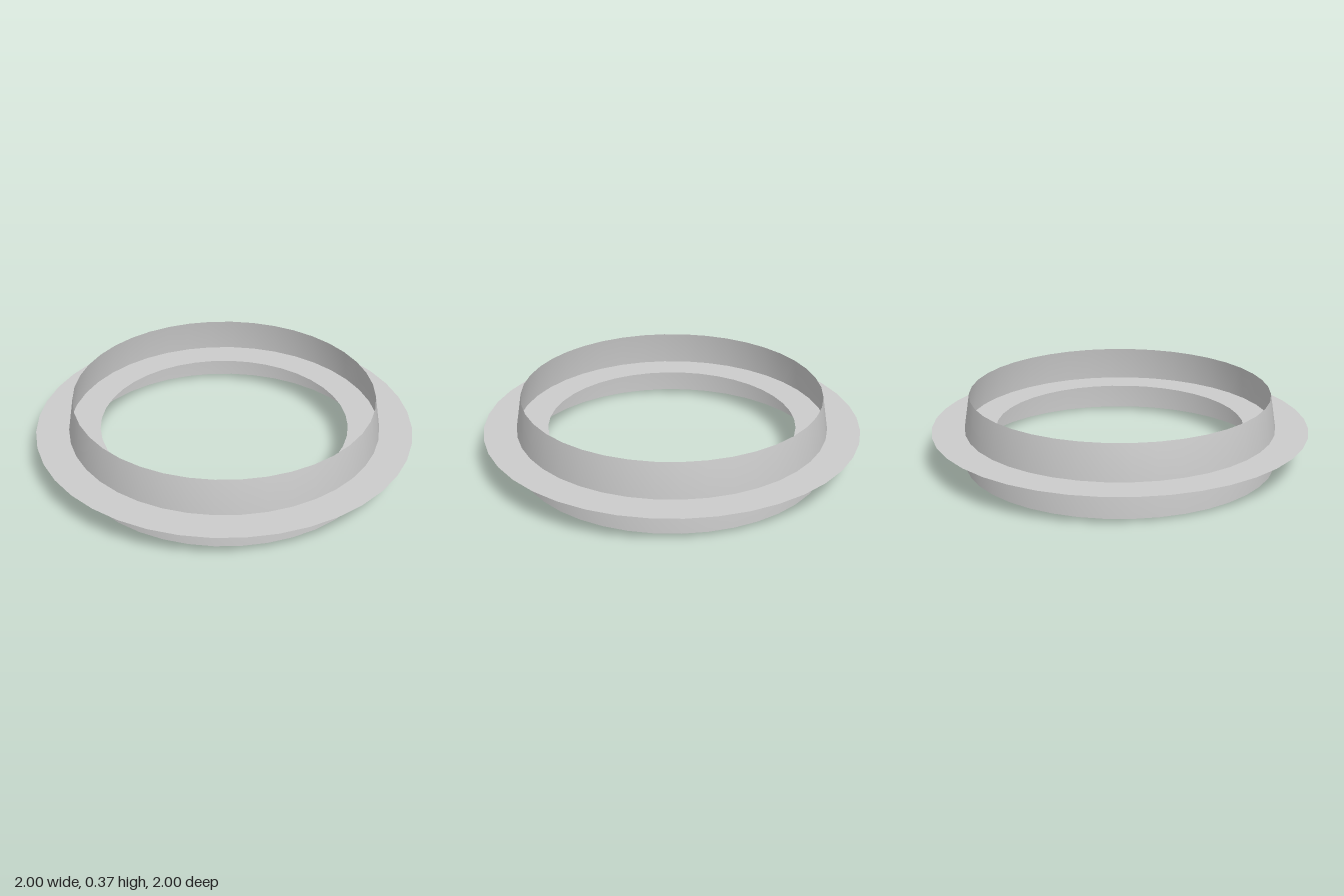
import * as THREE from 'three';

const SEGMENTS = 40;

export function createModel() {
  const group = new THREE.Group();
  group.name = 'flangedRing';
  const material = new THREE.MeshStandardMaterial({ color: 0xcccccc, side: THREE.DoubleSide });

  // Thin open band: upright below the flange, tapering in above it
  const profile = [[0.83, 0], [0.826, 0.19], [0.797, 0.372]].map(([r, y]) => new THREE.Vector2(r, y));
  const band = new THREE.Mesh(new THREE.LatheGeometry(profile, SEGMENTS), material);
  band.name = 'band';
  group.add(band);

  // Flat flange crossing the band at mid height
  const flangeGeometry = new THREE.RingGeometry(0.66, 1, SEGMENTS);
  flangeGeometry.rotateX(-Math.PI / 2);
  const flange = new THREE.Mesh(flangeGeometry, material);
  flange.name = 'flange';
  flange.position.y = 0.186;
  group.add(flange);

  return group;
}
